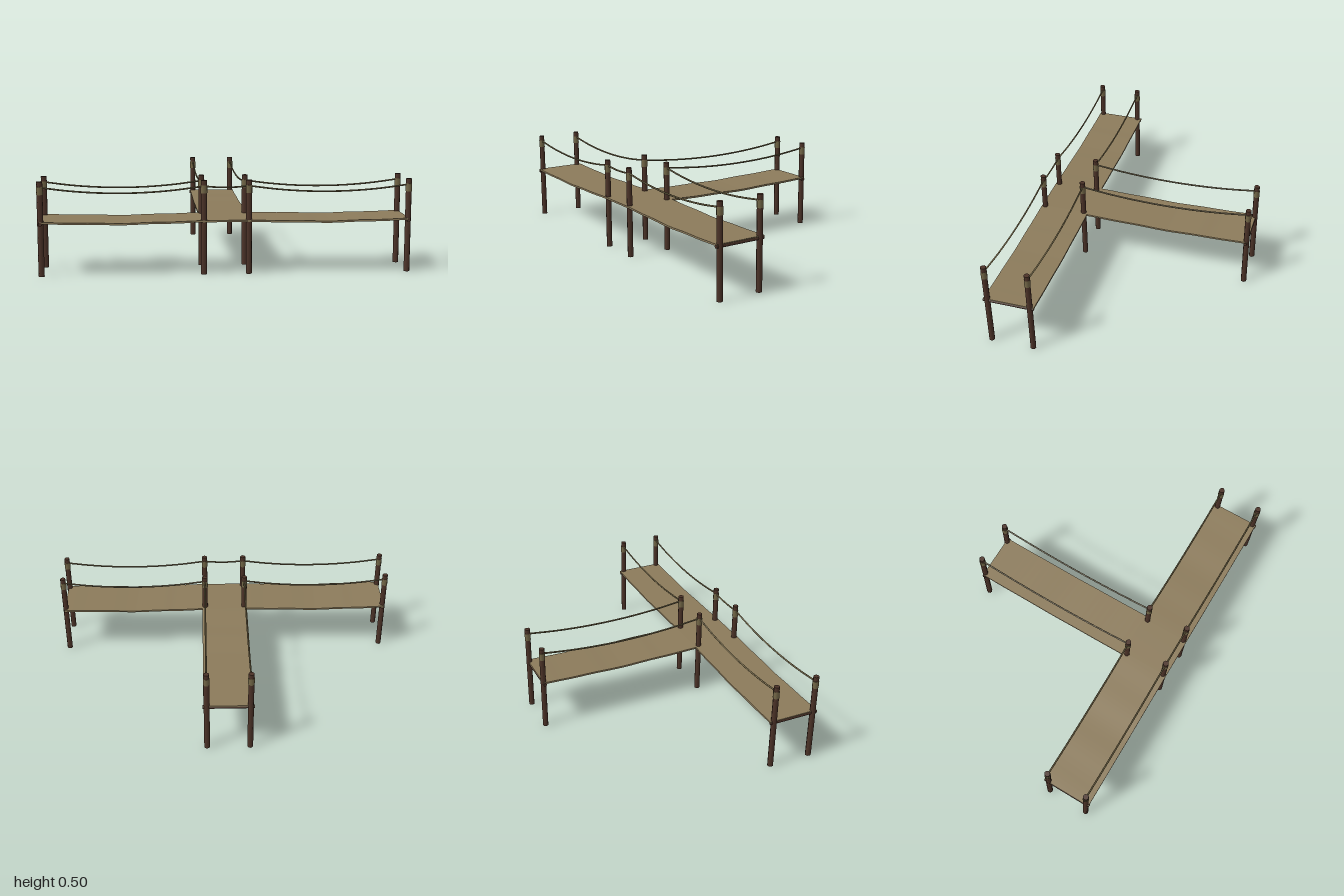
import * as THREE from 'three';

const mat = (name, color) => {
  const m = new THREE.MeshStandardMaterial({ color });
  m.name = name;
  return m;
};

export function createModel() {
  const wood = mat('dark wood', 0x4c3328);
  const plank = mat('tan planking', 0x8c7b5b);
  const rope = mat('rope', 0x746848);
  const under = mat('shadowed underside wood', 0x3b2a20);
  const model = new THREE.Group();
  model.name = 'ropeWalkway';

  const add = (name, geo, material, x = 0, y = 0, z = 0) => {
    const mesh = new THREE.Mesh(geo, material);
    mesh.name = name;
    mesh.position.set(x, y, z);
    model.add(mesh);
    return mesh;
  };

  // Posts with a rope binding near the top
  const post = new THREE.CylinderGeometry(0.016, 0.016, 0.505, 8);
  const binding = new THREE.CylinderGeometry(0.0175, 0.0175, 0.042, 8);
  const spots = [[-0.12, -0.61], [0.12, -0.61]];
  for (const x of [-0.98, -0.12, 0.12, 0.98]) for (const z of [0.365, 0.605]) spots.push([x, z]);
  for (const [x, z] of spots) {
    add('post', post, wood, x, 0.2525, z);
    add('ropeBinding', binding, rope, x, 0.457, z);
  }

  // Sagging hand ropes between neighbouring posts
  const handRope = (x0, z0, x1, z1, sag) => {
    const points = [];
    for (let i = 0; i <= 6; i++) {
      const t = i / 6;
      points.push(new THREE.Vector3(
        x0 + (x1 - x0) * t, 0.474 - sag * 4 * t * (1 - t), z0 + (z1 - z0) * t));
    }
    const curve = new THREE.CatmullRomCurve3(points);
    add('handRope', new THREE.TubeGeometry(curve, 18, 0.0048, 6), rope);
  };
  for (const s of [-1, 1]) {
    for (const z of [0.365, 0.605]) handRope(s * 0.12, z, s * 0.98, z, 0.034);
    handRope(s * 0.12, 0.365, s * 0.12, -0.61, 0.034);
  }
  handRope(-0.12, 0.605, 0.12, 0.605, 0.008);

  // Deck strip along x, hanging in a gentle wave between its ends
  const deckFaces = [plank, plank, plank, under, plank, plank];
  const wave = t => 0.288 - 0.008 * Math.sin(Math.PI * t) ** 2 - 0.0025 * Math.sin(3 * Math.PI * t) ** 2;
  const deckGeometry = (length, width, sagging) => {
    const geo = new THREE.BoxGeometry(length, 0.01, width, 24, 1, 1);
    const p = geo.attributes.position;
    for (let i = 0; i < p.count; i++) {
      p.setY(i, p.getY(i) + (sagging ? wave(p.getX(i) / length + 0.5) : wave(0)));
    }
    geo.computeVertexNormals();
    return geo;
  };
  add('centreDeck', deckGeometry(0.24, 0.285, false), deckFaces, 0, 0, 0.4825);
  for (const s of [-1, 1]) {
    add('sideDeck', deckGeometry(0.867, 0.285, true), deckFaces, s * 0.5535, 0, 0.4825);
  }
  const back = add('backDeck', deckGeometry(0.955, 0.275, true), deckFaces, 0, 0, -0.1375);
  back.rotation.y = Math.PI / 2;

  // Round cross beams carrying the outer deck ends
  const beam = new THREE.CylinderGeometry(0.01, 0.01, 0.285, 8);
  for (const s of [-1, 1]) add('endBeam', beam, wood, s * 0.98, 0.281, 0.485).rotation.x = Math.PI / 2;
  add('backBeam', beam, wood, 0, 0.281, -0.607).rotation.z = Math.PI / 2;

  return model;
}
